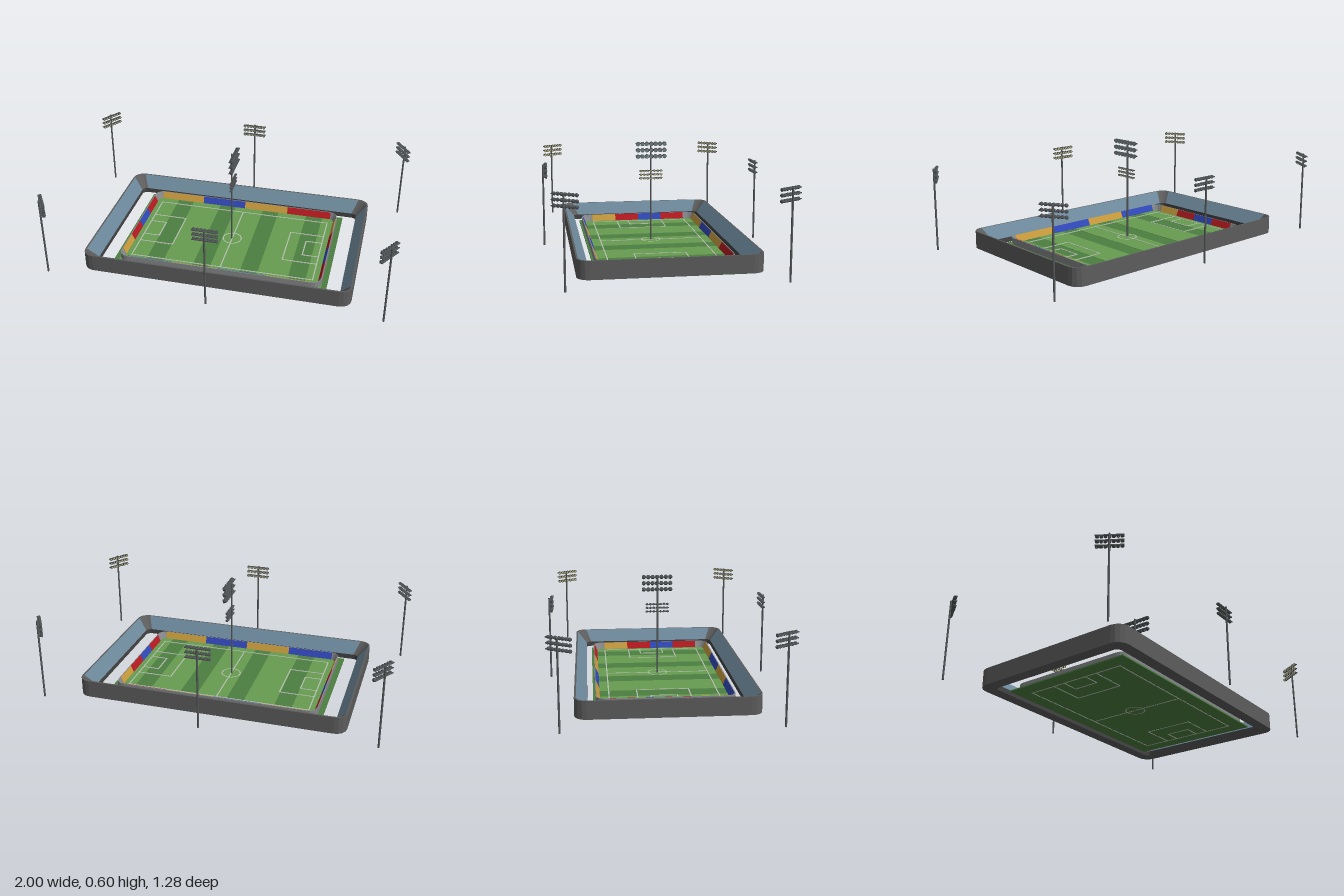
import * as THREE from 'three';

const mat = (color, side = THREE.FrontSide) => new THREE.MeshStandardMaterial({ color, side });
const STEEL = mat(0x55585a), WALL = mat(0x5c5c5c), DARK = mat(0x444444), SEAT = mat(0x6b8799);
const TURF = mat(0x4c7f41), TURF_LIGHT = mat(0x669c50), LINE = mat(0xb4bfae), BARRIER = mat(0x85878a);
const LENS = mat(0x8fa6ad), WARM = mat(0xe3dc98);
const GOLD = mat(0xc79a3c), BLUE = mat(0x3047b8), RED = mat(0xb51a20);

function add(parent, name, geometry, material, x = 0, y = 0, z = 0) {
  const m = new THREE.Mesh(geometry, material);
  m.name = name;
  m.position.set(x, y, z);
  parent.add(m);
  return m;
}
const box = (w, h, d) => new THREE.BoxGeometry(w, h, d);

// Points round a rounded rectangle; every fifth step is a straight side
const STEPS = 5;
function outline([hx, hz, y, r]) {
  const pts = [];
  for (let c = 0; c < 4; c++) {
    const sx = c === 0 || c === 3 ? 1 : -1, sz = c < 2 ? 1 : -1;
    for (let i = 0; i < STEPS; i++) {
      const a = (c + i / (STEPS - 1)) * Math.PI / 2;
      pts.push([sx * (hx - r) + r * Math.cos(a), y, sz * (hz - r) + r * Math.sin(a)]);
    }
  }
  return pts;
}

// Skin between rounded rectangles [halfX, halfZ, y, radius]; keep selects steps
function ring(sections, keep = () => true) {
  const loops = sections.map(outline), pos = [], n = STEPS * 4;
  for (let k = 0; k + 1 < loops.length; k++) {
    for (let i = 0; i < n; i++) {
      if (!keep(i)) continue;
      const j = (i + 1) % n, lo = loops[k], hi = loops[k + 1];
      pos.push(...lo[i], ...hi[i], ...hi[j], ...lo[i], ...hi[j], ...lo[j]);
    }
  }
  const g = new THREE.BufferGeometry();
  g.setAttribute('position', new THREE.Float32BufferAttribute(pos, 3));
  g.computeVertexNormals();
  return g;
}

// Stand: outer wall, sloped seating, low inner wall and underside
function buildStand() {
  const g = new THREE.Group();
  g.name = 'stand';
  const base = [0.78, 0.49, 0, 0.065], top = [0.78, 0.49, 0.1, 0.065];
  const rim = [0.77, 0.48, 0.1, 0.055], foot = [0.712, 0.422, 0.03, 0.03], inner = [0.712, 0.422, 0, 0.03];
  const straight = i => i % STEPS === STEPS - 1;
  add(g, 'outerWall', ring([base, top, rim]), WALL);
  add(g, 'seating', ring([rim, foot], straight), SEAT);
  add(g, 'seatingCorners', ring([rim, foot], i => !straight(i)), WALL);
  add(g, 'innerWall', ring([foot, inner]), DARK);
  add(g, 'underside', ring([inner, base]), WALL);
  return g;
}

// Pitch with mown stripes and markings
function buildPitch() {
  const g = new THREE.Group();
  g.name = 'pitch';
  add(g, 'turf', box(1.26, 0.008, 0.78), TURF, 0, 0.006, 0);
  for (let i = 0; i < 5; i++) {
    const left = Math.max(-0.6, -0.625 + i * 0.282), right = Math.min(0.6, -0.445 + i * 0.282);
    add(g, 'lightStripe', box(right - left, 0.002, 0.73), TURF_LIGHT, (left + right) / 2, 0.0105, 0);
  }
  const w = 0.007, h = 0.0125, y = 0.007;
  const mark = (x1, z1, x2, z2) => add(g, 'marking', box(Math.abs(x2 - x1) + w, h, Math.abs(z2 - z1) + w),
    LINE, (x1 + x2) / 2, y, (z1 + z2) / 2);
  mark(0, -0.303, 0, 0.303);
  for (const s of [-1, 1]) {
    mark(-0.543, s * 0.303, 0.543, s * 0.303);
    mark(s * 0.543, -0.303, s * 0.543, 0.303);
    for (const [depth, half] of [[0.205, 0.147], [0.097, 0.073]]) {
      const x = s * (0.543 - depth);
      mark(x, -half, x, half);
      for (const t of [-1, 1]) mark(x, t * half, s * 0.543, t * half);
    }
  }
  for (const side of [1, -1]) {
    const circle = add(g, 'centreCircle', new THREE.RingGeometry(0.052, 0.059, 40), LINE, 0, y + side * h / 2, 0);
    circle.rotation.x = -side * Math.PI / 2;
  }
  return g;
}

// Barrier round the pitch with leaning coloured panels
function buildBarrier() {
  const g = new THREE.Group();
  g.name = 'barrier';
  const b = [0.6, 0.378, 0.01, 0.055];
  add(g, 'barrierFrame', ring([b, [0.6, 0.378, 0.05, 0.055], [0.595, 0.373, 0.05, 0.05],
    [0.577, 0.355, 0.01, 0.035], b]), BARRIER);
  const sides = [
    [0, 0, -0.364, 1.11, [GOLD, BLUE, GOLD, RED]],
    [Math.PI / 2, -0.586, 0, 0.61, [GOLD, RED, BLUE, RED]],
    [Math.PI, 0, 0.364, 1.11, [GOLD, BLUE, GOLD, BLUE]],
    [-Math.PI / 2, 0.586, 0, 0.61, [GOLD, RED, BLUE, RED]],
  ];
  for (const [turn, x, z, length, colours] of sides) {
    const side = new THREE.Group();
    side.name = 'panelRow';
    side.position.set(x, 0.03, z);
    side.rotation.y = turn;
    colours.forEach((c, i) => {
      const panel = add(side, 'panel', box(length / 4, 0.043, 0.004), c, (i - 1.5) * length / 4, 0, 0);
      panel.rotation.x = -Math.atan(0.45);
    });
    g.add(side);
  }
  return g;
}

// Rows of lamps on crossbars, facing local +z
function lampBank(rows, spacing, radius, lensMat) {
  const g = new THREE.Group();
  g.name = 'lampBank';
  const bowl = new THREE.SphereGeometry(radius, 10, 5, 0, Math.PI * 2, 0, Math.PI / 2).rotateX(-Math.PI / 2);
  const hood = new THREE.CylinderGeometry(radius, radius, radius * 0.6, 10, 1, true).rotateX(Math.PI / 2);
  const lens = new THREE.CircleGeometry(radius * 0.85, 10);
  const hoodMat = mat(0x4b5052, THREE.DoubleSide);
  for (const y of rows) {
    add(g, 'crossbar', box(spacing * 7, 0.006, 0.006), STEEL, 0, y, 0);
    for (let i = -3; i <= 3; i++) {
      const lamp = new THREE.Group();
      lamp.name = 'lamp';
      lamp.position.set(i * spacing, y, radius * 1.05);
      lamp.rotation.x = 0.4;
      add(lamp, 'lampBowl', bowl, hoodMat);
      add(lamp, 'lampHood', hood, hoodMat, 0, 0, radius * 0.3);
      add(lamp, 'lens', lens, lensMat, 0, 0, radius * 0.25);
      g.add(lamp);
    }
  }
  return g;
}

// Pole with a lamp bank at the top, turned towards the given heading
function floodlight(name, x, z, heading, height, bank) {
  const g = new THREE.Group();
  g.name = name;
  g.position.set(x, 0, z);
  g.rotation.y = heading;
  add(g, 'pole', new THREE.CylinderGeometry(0.0055, 0.0055, height, 10), STEEL, 0, height / 2, 0);
  bank.position.z = 0.006;
  g.add(bank);
  return g;
}

export function createModel() {
  const model = new THREE.Group();
  model.name = 'stadium';
  model.add(buildStand(), buildPitch(), buildBarrier());

  // Outer floodlights
  const rows = [0.473, 0.444, 0.415];
  for (const sz of [-1, 1]) {
    for (const sx of [-1, 0, 1]) {
      const x = sx * 0.965, z = sz * (sx ? 0.557 : 0.634);
      const heading = sx ? Math.atan2(-sx * 0.85, -sz * 0.54) : (sz > 0 ? Math.PI : 0);
      model.add(floodlight('floodlight', x, z, heading, 0.478, lampBank(rows, 0.0205, 0.0095, WARM)));
    }
  }

  // Tall central mast with a large and a small bank
  const mast = floodlight('centralMast', -0.003, 0, Math.PI / 2, 0.6,
    lampBank([0.592, 0.555, 0.518], 0.026, 0.0125, LENS));
  const small = lampBank([0.43, 0.408, 0.386], 0.02, 0.007, WARM);
  small.position.z = 0.005;
  mast.add(small);
  model.add(mast);
  return model;
}
